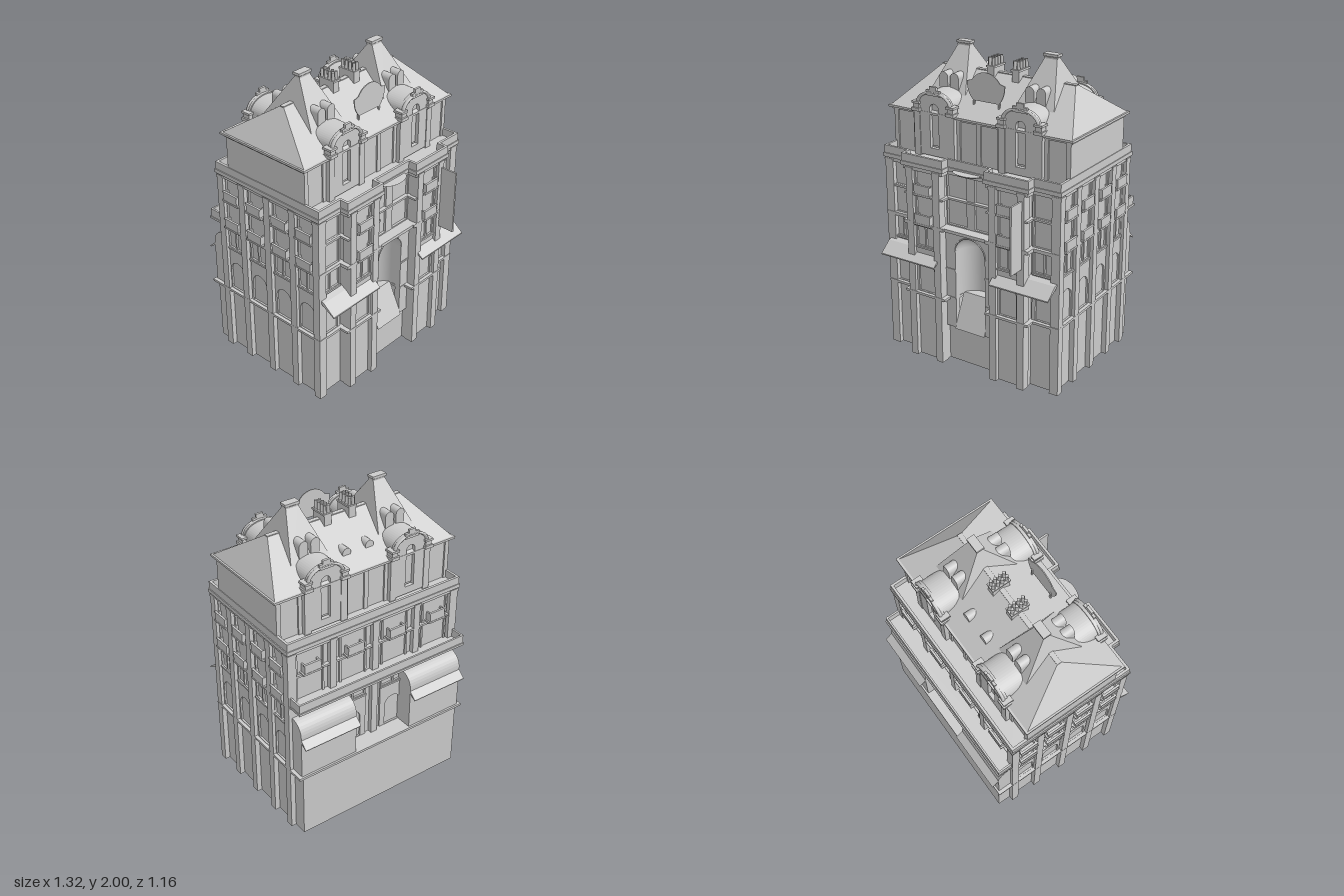
import * as THREE from 'three';

const mat = new THREE.MeshStandardMaterial({ color: 0xcccccc, side: THREE.DoubleSide });

export function createModel() {
  const root = new THREE.Group();
  root.name = 'townHall';

  const add = (name, geo, parent = root) => {
    const m = new THREE.Mesh(geo, mat);
    m.name = name;
    parent.add(m);
    return m;
  };
  // box given by its centre in x and z and its bottom in y
  const box = (name, w, h, d, x, y, z, parent) =>
    add(name, new THREE.BoxGeometry(w, h, d).translate(x, y + h / 2, z), parent);
  const poly = (pts, C = THREE.Shape) => new C(pts.map(p => new THREE.Vector2(...p)));
  const extrude = (shape, depth) =>
    new THREE.ExtrudeGeometry(shape, { depth, bevelEnabled: false, curveSegments: 12 });
  const rect = (x0, x1, y0, y1) => poly([[x0, y0], [x1, y0], [x1, y1], [x0, y1]], THREE.Path);
  const arch = (r, y0, spring, C = THREE.Path, rise = r) => {
    const p = new C();
    p.moveTo(-r, y0); p.lineTo(r, y0); p.lineTo(r, spring);
    p.absellipse(0, spring, r, rise, 0, Math.PI); p.lineTo(-r, y0);
    return p;
  };
  // profile of (z, y) points swept from x0 to x1
  const prism = (name, pts, x0, x1, parent) =>
    add(name, extrude(poly(pts), x1 - x0).rotateY(-Math.PI / 2).translate(x1, 0, 0), parent);
  // box tapering to a smaller top
  const frustum = (name, hx, hz, tx, tz, h, x, y, z, parent) => {
    const g = new THREE.BoxGeometry(2, h, 2), p = g.attributes.position;
    for (let i = 0; i < p.count; i++) {
      const top = p.getY(i) > 0;
      p.setX(i, p.getX(i) * (top ? tx : hx));
      p.setZ(i, p.getZ(i) * (top ? tz : hz));
    }
    g.computeVertexNormals();
    return add(name, g.translate(x, y + h / 2, z), parent);
  };

  // building outline grown by o, with projecting pavilions and an optional entrance notch
  const outline = (o, notch = false, back = -0.415 - o) => {
    const half = [[0.605 + o, back], [0.605 + o, 0.375 + o], [0.425 + o, 0.375 + o],
      [0.425 + o, 0.435 + o], [0.185 - o, 0.435 + o], [0.185 - o, 0.375 + o]];
    if (notch) half.push([0.145 - o, 0.375 + o], [0.145 - o, 0.22 + o]);
    const all = [...half, ...half.slice().reverse().map(([x, z]) => [-x, z])];
    return all.map(([x, z]) => [x, -z]);
  };
  const layer = (name, y, h, pts, hole) => {
    const s = poly(pts);
    if (hole) s.holes.push(poly(hole, THREE.Path));
    return add(name, extrude(s, h).rotateX(-Math.PI / 2).translate(0, y, 0));
  };

  // main walls: thin-walled open base, storeys above
  layer('baseWalls', 0, 0.25, outline(0, false, -0.535), outline(-0.005, false, -0.53));
  layer('groundWalls', 0.25, 0.2, outline(0, true, -0.535), outline(-0.005, true, -0.53));
  layer('middleWalls', 0.45, 0.48, outline(0, true));
  layer('upperWalls', 0.93, 0.37, outline(0));
  layer('baseLedge', 0.445, 0.016, outline(0.034, true, -0.55));
  layer('storeyLedge', 0.92, 0.022, outline(0.033));
  layer('windowLedge', 1.115, 0.013, outline(0.026));
  layer('frieze', 1.28, 0.025, outline(0.028));
  layer('cornice', 1.305, 0.025, outline(0.04));
  layer('parapet', 1.33, 0.05, outline(0.034), outline(0.018));

  // facade bay: pierced facing with an arch, paired windows and two tall windows
  const balcony = (y, g, w = 0.115, d = 0.045) => {
    box('balconyFloor', w + 0.02, 0.012, d, 0, y, d / 2, g);
    box('balconyFront', w, 0.055, 0.01, 0, y + 0.012, d - 0.007, g);
    box('balconyRail', w + 0.01, 0.008, 0.014, 0, y + 0.065, d - 0.007, g);
    for (const s of [-1, 1]) box('balconySide', 0.01, 0.055, d - 0.005, s * (w / 2 - 0.005), y + 0.012, d / 2, g);
  };
  const bay = (w, x, z, rot, balconies = []) => {
    const g = new THREE.Group();
    g.name = 'facadeBay';
    const s = poly([[-w / 2, 0.46], [w / 2, 0.46], [w / 2, 1.29], [-w / 2, 1.29]]);
    const e = w / 2 - 0.012;
    s.holes.push(arch(0.06, 0.465, 0.61), rect(-e, -0.006, 0.78, 0.91), rect(0.006, e, 0.78, 0.91),
      rect(-e, e, 0.945, 1.11), rect(-e, e, 1.13, 1.278));
    add('facing', extrude(s, 0.012), g);
    box('sill', w, 0.012, 0.02, 0, 0.765, 0.01, g);
    for (const y of balconies) balcony(y, g);
    g.position.set(x, 0, z);
    g.rotation.y = rot;
    root.add(g);
  };
  const pilaster = (w, d, x, z, y0 = 0, y1 = 1.305) => {
    box('pilaster', w, y1 - y0, d, x, y0, z);
    box('pilasterCap', w + 0.006, 0.02, d + 0.006, x, y1 - 0.03, z);
  };

  // side facades: five pilasters, four bays
  const sideZ = [0.38, 0.19, -0.02, -0.235, -0.42];
  for (const s of [-1, 1]) {
    sideZ.forEach((z, i) => {
      pilaster(0.06, 0.05, s * 0.608, z);
      if (i) bay(0.15, s * 0.605, (z + sideZ[i - 1]) / 2, s * Math.PI / 2, [0.93, 1.125]);
    });
    // front: outer bay and projecting pavilion
    bay(0.17, s * 0.523, 0.375, 0);
    bay(0.15, s * 0.305, 0.435, 0, [0.93, 1.125]);
    for (const x of [0.205, 0.405]) pilaster(0.05, 0.06, s * x, 0.437);
    // front awnings
    prism('awning', [[0.38, 0.76], [0.425, 0.745], [0.505, 0.68], [0.505, 0.672], [0.38, 0.745]],
      s > 0 ? 0.205 : -0.62, s > 0 ? 0.62 : -0.205);
    // vaulted bays on the rear terrace
    const x0 = s > 0 ? 0.21 : -0.615, x1 = x0 + 0.405;
    const vault = [[-0.41, 0.455], [-0.537, 0.455]];
    for (let i = 0; i <= 8; i++) {
      const a = i / 8 * Math.PI / 2;
      vault.push([-0.445 - 0.092 * Math.cos(a), 0.755 + 0.095 * Math.sin(a)]);
    }
    vault.push([-0.41, 0.85]);
    prism('rearVault', vault, x0, x1);
    prism('rearAwning', [[-0.53, 0.745], [-0.585, 0.695], [-0.582, 0.688], [-0.53, 0.725]], x0, x1);
  }

  // rear facade
  for (const x of [-0.315, 0, 0.315]) pilaster(0.045, 0.05, x, -0.42, 0.46);
  for (const x of [-0.47, -0.157, 0.157, 0.47]) bay(0.2, x, -0.415, Math.PI, [1.125]);
  box('rearGallery', 1.26, 0.015, 0.135, 0, 0.93, -0.48);
  box('rearGalleryFront', 1.25, 0.055, 0.012, 0, 0.945, -0.534);
  for (const s of [-1, 1]) box('rearGalleryEnd', 0.012, 0.055, 0.11, s * 0.62, 0.945, -0.48);

  // entrance: arched front, niche with half dome, ramp
  const front = poly([[-0.185, 0.25], [0.185, 0.25], [0.185, 0.93], [-0.185, 0.93]]);
  front.holes.push(arch(0.11, 0.255, 0.775));
  add('entranceFront', extrude(front, 0.04).translate(0, 0, 0.365));
  box('entranceCornice', 0.37, 0.02, 0.085, 0, 0.922, 0.418);
  for (const s of [-1, 1]) box('archImpost', 0.07, 0.012, 0.05, s * 0.145, 0.645, 0.385);
  add('archMoulding', new THREE.TorusGeometry(0.113, 0.005, 6, 20, Math.PI).translate(0, 0.775, 0.405));
  add('nicheWall', new THREE.CylinderGeometry(0.112, 0.112, 0.31, 20, 1, true, Math.PI / 2, Math.PI)
    .translate(0, 0.62, 0.365));
  add('nicheDome', new THREE.SphereGeometry(0.112, 20, 8, 0, Math.PI, 0, Math.PI / 2)
    .rotateY(Math.PI).translate(0, 0.775, 0.365));
  prism('ramp', [[0.23, 0.25], [0.42, 0.25], [0.32, 0.47], [0.23, 0.47]], -0.11, 0.11);
  // windows above the entrance
  const mid = poly([[-0.18, 0.94], [0.18, 0.94], [0.18, 1.29], [-0.18, 1.29]]);
  mid.holes.push(rect(-0.172, -0.03, 0.95, 1.282), rect(0.03, 0.172, 0.95, 1.282));
  add('centreWindows', extrude(mid, 0.015).translate(0, 0, 0.375));
  add('centreCanopy', new THREE.CylinderGeometry(0.07, 0.05, 0.014, 20).scale(1.5, 1, 0.9).translate(0, 1.312, 0.412));

  // hanging banner
  box('banner', 0.012, 0.43, 0.11, 0.41, 0.82, 0.525);
  for (const y of [0.87, 1.19]) box('bannerBracket', 0.008, 0.012, 0.06, 0.41, y, 0.47);

  // attic storey and roof, alike front and back about their own centre
  const top = new THREE.Group();
  top.name = 'roof';
  top.position.z = -0.02;
  root.add(top);
  box('atticWalls', 1.27, 0.27, 0.62, 0, 1.33, 0, top);
  box('eaveMoulding', 1.29, 0.015, 0.65, 0, 1.588, 0, top);
  box('eave', 1.32, 0.014, 0.69, 0, 1.603, 0, top);
  frustum('hippedRoof', 0.65, 0.335, 0.48, 0.012, 0.218, 0, 1.615, 0, top);
  box('ridge', 0.965, 0.008, 0.03, 0, 1.828, 0, top);

  for (const s of [-1, 1]) {
    const x = s * 0.313;
    frustum('roofTower', 0.152, 0.235, 0.042, 0.018, 0.325, x, 1.65, 0, top);
    box('towerCollar', 0.09, 0.01, 0.044, x, 1.97, 0, top);
    box('towerCap', 0.1, 0.016, 0.052, x, 1.984, 0, top);
    // chimney with a double row of square pots
    box('chimney', 0.05, 0.11, 0.115, s * 0.09, 1.76, 0, top);
    box('chimneyCap', 0.06, 0.012, 0.125, s * 0.09, 1.868, 0, top);
    for (let i = 0; i < 8; i++)
      add('chimneyPot', new THREE.CylinderGeometry(0.012, 0.014, 0.052, 4)
        .translate(s * 0.09 + (i % 2 - 0.5) * 0.026, 1.904, -0.045 + Math.floor(i / 2) * 0.03), top);
    // rear roof vent
    add('roofVent', new THREE.CylinderGeometry(0.03, 0.03, 0.1, 14).rotateX(Math.PI / 2)
      .translate(s * 0.083, 1.697, -0.185), top);
  }

  for (const side of [0, 1]) {
    const g = new THREE.Group();
    g.name = side ? 'rearDormers' : 'frontDormers';
    g.rotation.y = side * Math.PI;
    top.add(g);
    for (const x of [-0.31, 0.31]) {
      // round gable with an arched window, piers and crest
      const gable = arch(0.128, 1.34, 1.665, THREE.Shape, 0.085);
      gable.holes.push(arch(0.032, 1.39, 1.64));
      add('gable', extrude(gable, 0.025).translate(x, 0, 0.318), g);
      add('gableMoulding', new THREE.TorusGeometry(0.122, 0.012, 6, 20, Math.PI)
        .scale(1, 0.65, 1).translate(x, 1.665, 0.343), g);
      add('dormerVault', extrude(arch(0.122, 1.4, 1.665, THREE.Shape, 0.078), 0.2).translate(x, 0, 0.12), g);
      for (const s of [-1, 1]) {
        box('gablePier', 0.045, 0.29, 0.045, x + s * 0.128, 1.33, 0.325, g);
        box('pierCap', 0.06, 0.02, 0.07, x + s * 0.128, 1.615, 0.33, g);
        box('pierBlock', 0.042, 0.03, 0.05, x + s * 0.128, 1.635, 0.33, g);
        box('pierTop', 0.056, 0.014, 0.065, x + s * 0.128, 1.662, 0.33, g);
        // small round-topped dormers on the tower
        add('towerDormer', extrude(arch(0.031, 1.7, 1.803, THREE.Shape), 0.1)
          .translate(x + s * 0.04, 0, 0.085), g);
      }
      box('crest', 0.1, 0.035, 0.016, x, 1.725, 0.345, g);
      box('crestTop', 0.05, 0.022, 0.016, x, 1.76, 0.345, g);
    }
    for (const x of [-0.62, -0.47, -0.15, 0, 0.15, 0.47, 0.62])
      box('atticPilaster', 0.03, 0.26, 0.02, x, 1.33, 0.31, g);
  }

  // rounded board standing on the front slope
  const board = new THREE.Shape();
  board.moveTo(-0.09, 1.71); board.lineTo(0.09, 1.71);
  board.quadraticCurveTo(0.135, 1.75, 0.135, 1.825);
  board.lineTo(0.1, 1.835);
  board.quadraticCurveTo(0.06, 1.89, 0, 1.89);
  board.quadraticCurveTo(-0.06, 1.89, -0.1, 1.835);
  board.lineTo(-0.135, 1.825);
  board.quadraticCurveTo(-0.135, 1.75, -0.09, 1.71);
  add('roofBoard', extrude(board, 0.006).translate(0, 0, 0.215));
  for (const x of [-0.09, 0.09]) box('boardPost', 0.01, 0.1, 0.01, x, 1.65, 0.213);

  return root;
}
